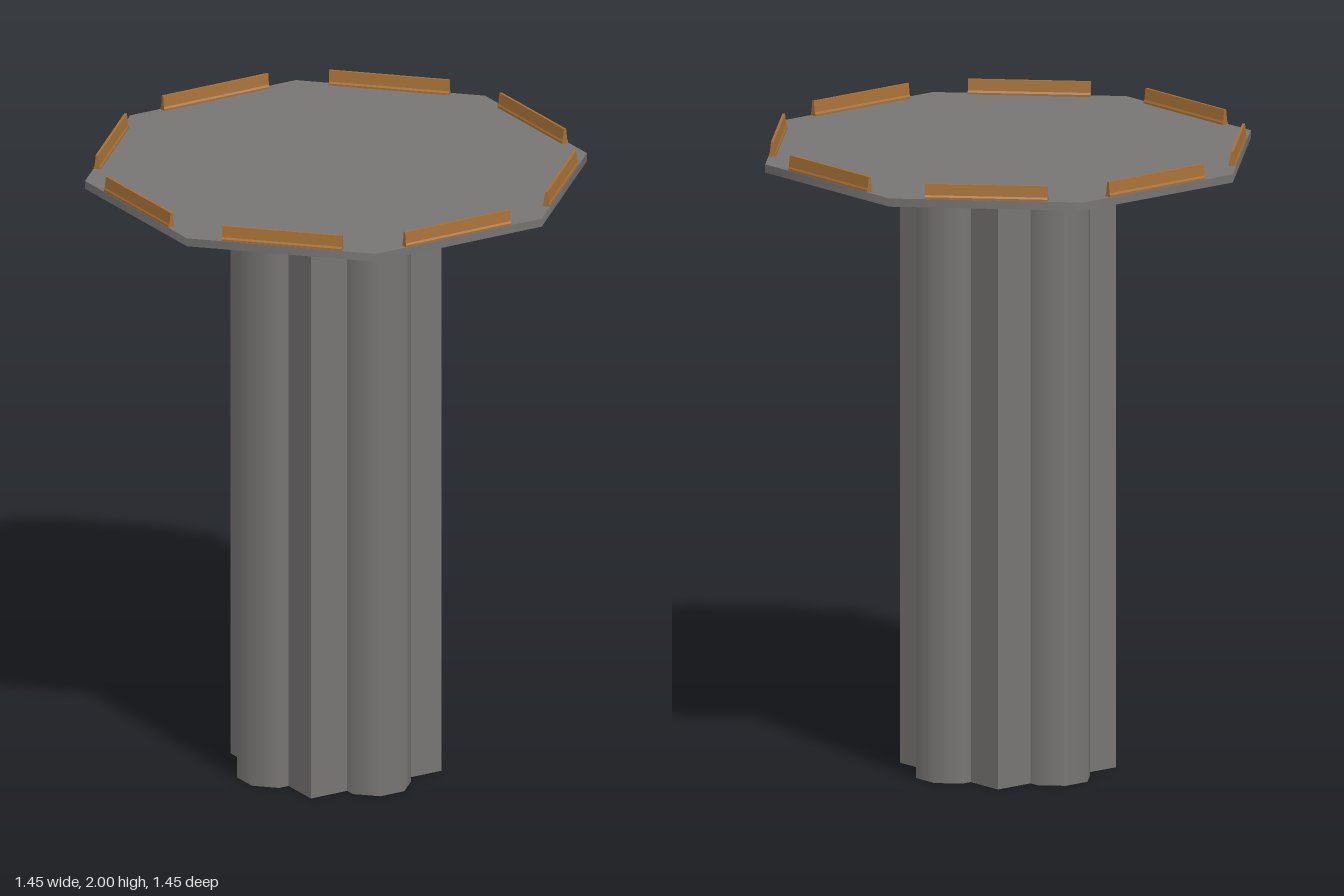
import * as THREE from 'three';

export function createModel() {
  const model = new THREE.Group();
  const stone = new THREE.MeshStandardMaterial({ color: 0x777574 });
  stone.name = 'grey stone';
  const wood = new THREE.MeshStandardMaterial({ color: 0xa56f35 });
  wood.name = 'brown wood';

  const add = (name, geometry, material, y = 0) => {
    const mesh = new THREE.Mesh(geometry, material);
    mesh.name = name;
    mesh.position.y = y;
    model.add(mesh);
    return mesh;
  };

  // Column: a square shaft with a soft-shaded round pillar set into each side
  const columnHeight = 1.885;
  add('squareShaft', new THREE.BoxGeometry(0.472, columnHeight, 0.472), stone, columnHeight / 2);
  const pillarRadius = 0.105 / Math.cos(Math.PI / 8);
  const pillarGeometry = new THREE.CylinderGeometry(pillarRadius, pillarRadius, columnHeight, 8)
    .rotateY(Math.PI / 8).translate(0, 0, 0.226);
  for (let i = 0; i < 4; i++) {
    add('sidePillar' + (i + 1), pillarGeometry, stone, columnHeight / 2).rotation.y = (i * Math.PI) / 2;
  }

  // Octagonal slabs stepping out to the table top: [name, half width, bottom, top]
  const slabs = [
    ['lowerSlab', 0.475, 1.883, 1.9],
    ['middleSlab', 0.59, 1.9, 1.927],
    ['topSlab', 0.723, 1.927, 1.953],
  ];
  for (const [name, half, bottom, top] of slabs) {
    const radius = half / Math.cos(Math.PI / 8);
    const geometry = new THREE.CylinderGeometry(radius, radius, top - bottom, 8).rotateY(Math.PI / 8);
    add(name, geometry, stone, (bottom + top) / 2);
  }

  // Edge rails: a narrow tapered profile, one on each of the eight sides
  const length = 0.38;
  const side = [[0.011, 0], [0.011, 0.006], [0.008, 0.012], [0.004, 0.047]];
  const outline = [...side, ...side.map(([x, y]) => [-x, y]).reverse()];
  const profile = new THREE.Shape(outline.map(([x, y]) => new THREE.Vector2(x, y)));
  const railGeometry = new THREE.ExtrudeGeometry(profile, { depth: length, bevelEnabled: false })
    .translate(0, 0, -length / 2).rotateY(Math.PI / 2).translate(0, 0, 0.711);
  for (let i = 0; i < 8; i++) {
    add('edgeRail' + (i + 1), railGeometry, wood, 1.953).rotation.y = (i * Math.PI) / 4;
  }

  return model;
}
